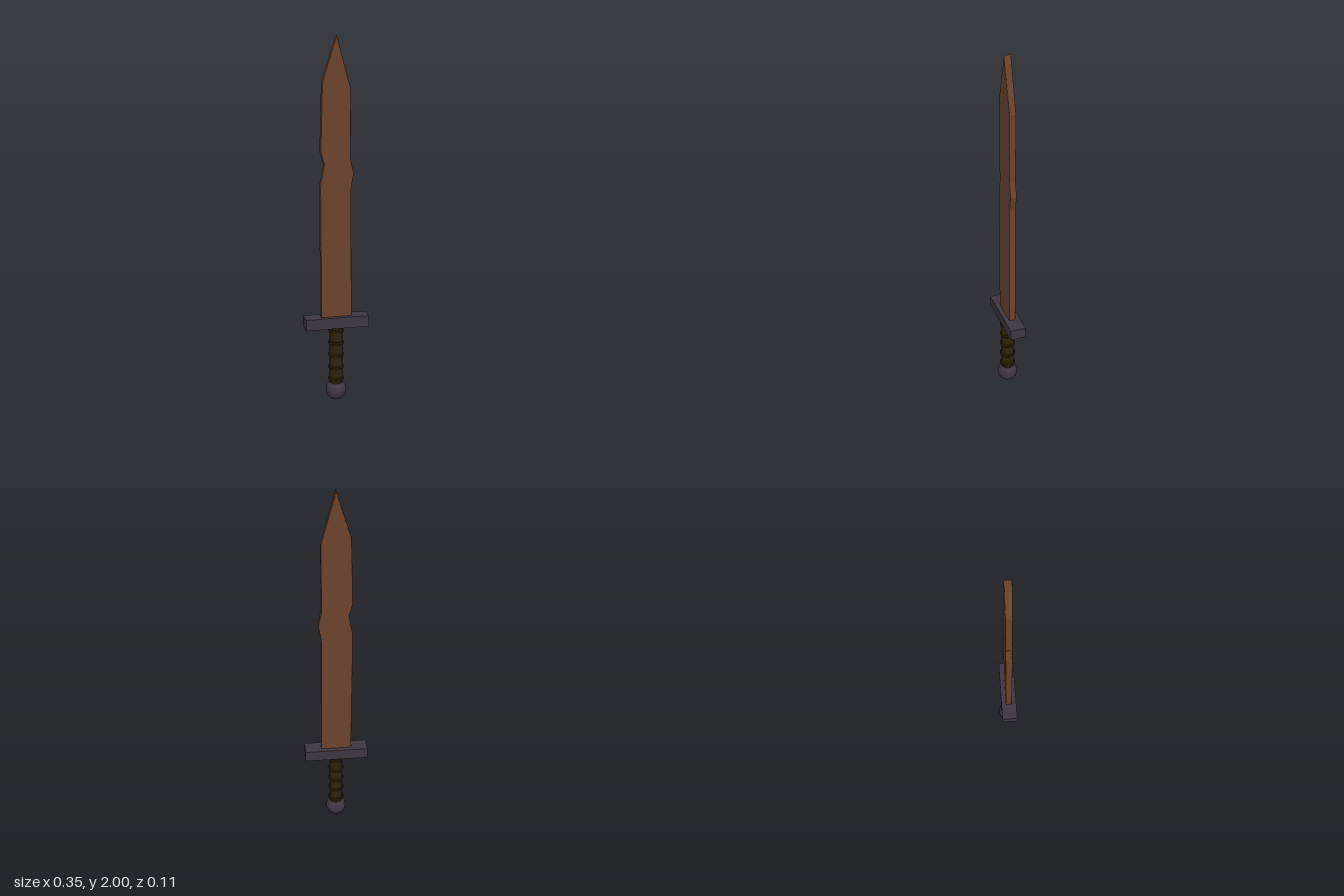
import * as THREE from 'three';

const material = (name, color) => {
  const m = new THREE.MeshStandardMaterial({ color });
  m.name = name;
  return m;
};

export function createModel() {
  const group = new THREE.Group();
  group.name = 'sword';
  const bronze = material('bronze brown', 0x6b432b);
  const iron = material('dark iron', 0x3d363f);
  const leather = material('dark leather', 0x2e230f);
  const cord = material('wrap cord', 0x211909);

  const add = (name, geometry, mat, y = 0) => {
    const mesh = new THREE.Mesh(geometry, mat);
    mesh.name = name;
    mesh.position.y = y;
    group.add(mesh);
    return mesh;
  };

  // Blade: notched outline, extruded with a narrow bevel
  const outline = [
    [-0.086, 0.48], [0.085, 0.48], [0.08, 1.2], [0.094, 1.28], [0.077, 1.36],
    [0.077, 1.725], [0, 2], [-0.077, 1.76], [-0.087, 1.4], [-0.068, 1.33], [-0.089, 1.22],
  ].map(([x, y]) => new THREE.Vector2(x, y));
  const bevel = 0.005, thickness = 0.036;
  const blade = new THREE.ExtrudeGeometry(new THREE.Shape(outline), {
    depth: thickness - 2 * bevel,
    bevelThickness: bevel, bevelSize: bevel, bevelOffset: -bevel, bevelSegments: 2,
  });
  blade.translate(0, 0, bevel - thickness / 2);
  add('blade', blade, bronze);

  // Crossguard
  add('crossguard', new THREE.BoxGeometry(0.354, 0.062, 0.088), iron, 0.46);

  // Grip with five raised wraps
  add('grip', new THREE.CylinderGeometry(0.036, 0.036, 0.35, 24), leather, 0.265);
  for (let i = 0; i < 5; i++) {
    const ring = new THREE.TorusGeometry(0.037, 0.008, 8, 24);
    ring.rotateX(Math.PI / 2);
    add('gripWrap' + (i + 1), ring, cord, 0.124 + i * 0.0712);
  }

  // Round pommel
  add('pommel', new THREE.SphereGeometry(0.057, 32, 20), iron, 0.057);

  return group;
}
